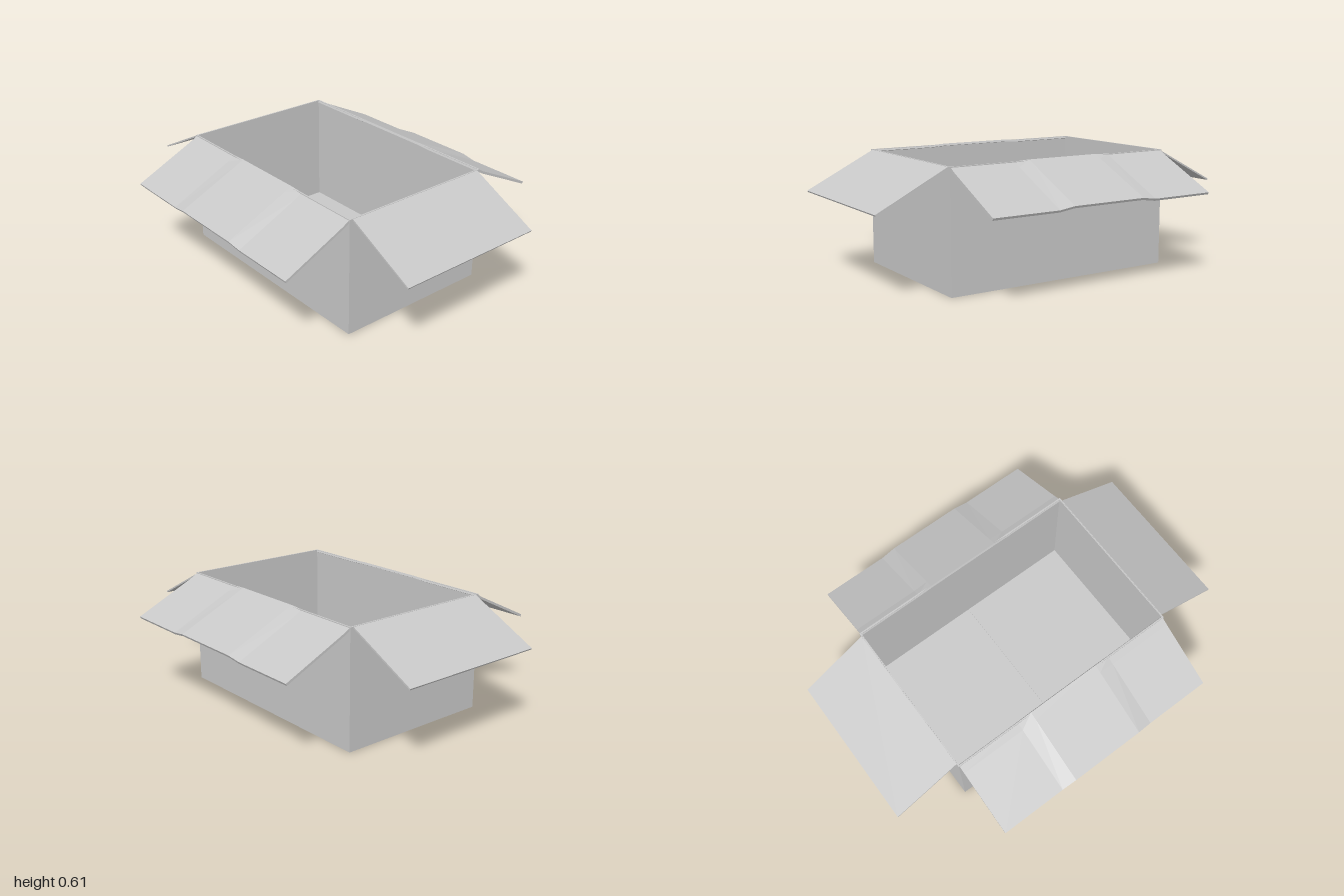
import * as THREE from 'three';

const W = 0.635, D = 0.424, H = 0.61, T = 0.008; // half width, half depth, height, board thickness

export function createModel() {
  const model = new THREE.Group();
  model.name = 'openBox';
  const board = new THREE.MeshStandardMaterial({ color: 0xc8c8c8 });
  board.name = 'greyBoard';

  const add = (name, geometry, parent = model) => {
    const mesh = new THREE.Mesh(geometry, board);
    mesh.name = name;
    parent.add(mesh);
    return mesh;
  };

  // Four walls: a rectangular ring pulled upward
  const ring = new THREE.Shape();
  ring.moveTo(-W, -D).lineTo(W, -D).lineTo(W, D).lineTo(-W, D).closePath();
  const hole = new THREE.Path();
  const w = W - T, d = D - T;
  hole.moveTo(-w, -d).lineTo(-w, d).lineTo(w, d).lineTo(w, -d).closePath();
  ring.holes.push(hole);
  const walls = new THREE.ExtrudeGeometry(ring, { depth: H, bevelEnabled: false });
  walls.rotateX(-Math.PI / 2);
  add('walls', walls);

  // Base, with two inner panels meeting in a fine centre seam
  add('base', new THREE.BoxGeometry(2 * w, T / 2, 2 * d)).position.y = T / 4;
  for (const s of [-1, 1]) {
    add(s > 0 ? 'leftFloorPanel' : 'rightFloorPanel', new THREE.BoxGeometry(w - 0.001, T / 2, 2 * d))
      .position.set(s * (w + 0.001) / 2, T * 0.75, 0);
  }

  // Long flaps at front and back, gently bowed up in the middle
  for (const [name, turn] of [['frontFlap', 0], ['backFlap', Math.PI]]) {
    add(name, bowedFlap()).rotation.y = turn;
  }

  // Straight short flaps at the two ends
  const dx = 1 - W + 0.004, dy = -0.187;
  for (const s of [-1, 1]) {
    const flap = new THREE.BoxGeometry(Math.hypot(dx, dy), T, 0.81);
    const mesh = add(s > 0 ? 'leftFlap' : 'rightFlap', flap);
    mesh.position.set(s * (W - 0.006 + dx / 2), H - 0.003 + dy / 2, 0);
    mesh.rotation.z = s * Math.atan2(dy, dx);
  }
  return model;
}

// Lofts a closed four-cornered board section, creased near the hinge, along x
function bowedFlap() {
  const stations = [[-0.63, 0], [-0.28, 0], [-0.2, 1], [0.2, 1], [0.28, 0], [0.63, 0]];
  const low = [[0.417, 0.61], [0.458, 0.586], [0.783, 0.431]];
  const high = [[0.417, 0.614], [0.458, 0.595], [0.787, 0.443]];
  const t = 0.012, n = 6;
  const pos = [], idx = [];
  for (const [x, bow] of stations) {
    const top = low.map((p, i) => p.map((v, k) => v + (high[i][k] - v) * bow));
    const section = [...top, ...top.map(([z, y]) => [z - t * 0.42, y - t * 0.9]).reverse()];
    for (const [z, y] of section) pos.push(x, y, z);
  }
  for (let s = 0; s < stations.length - 1; s++) {
    for (let i = 0; i < n; i++) {
      const a = s * n + i, b = s * n + (i + 1) % n, c = a + n, e = b + n;
      idx.push(a, b, c, b, e, c);
    }
  }
  // End caps
  const m = (stations.length - 1) * n;
  for (const [a, b, c] of [[0, 5, 1], [1, 5, 4], [1, 4, 2], [2, 4, 3]]) {
    idx.push(a, b, c, m + a, m + c, m + b);
  }
  const geometry = new THREE.BufferGeometry();
  geometry.setAttribute('position', new THREE.Float32BufferAttribute(pos, 3));
  geometry.setIndex(idx);
  const flat = geometry.toNonIndexed();
  flat.computeVertexNormals();
  return flat;
}
